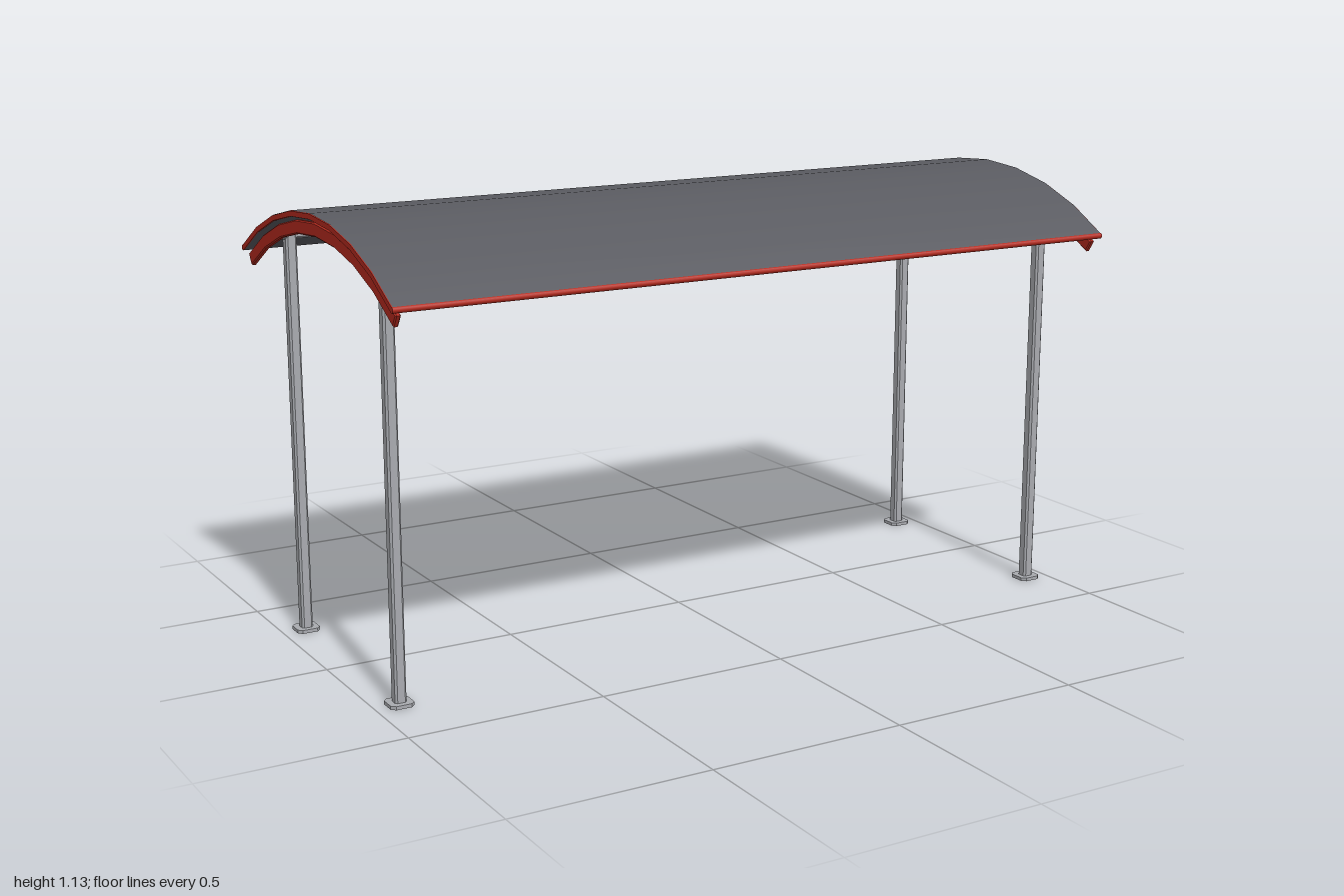
import * as THREE from 'three';

const CENTRE_Y = 0.244; // centre of the roof arc
const HALF = 0.577;     // half angle of the roof arc
const SEGMENTS = 8;

const mat = (name, color, side = THREE.FrontSide) => {
  const m = new THREE.MeshStandardMaterial({ color, side });
  m.name = name;
  return m;
};

// Arched bar between two radii, running along x and centred on it
function archGeometry(inner, outer, length, bevel = 0) {
  const points = [];
  const arc = (r, dir) => {
    for (let i = 0; i <= SEGMENTS; i++) {
      const a = dir * HALF * (1 - 2 * i / SEGMENTS);
      points.push(new THREE.Vector2(r * Math.sin(a), r * Math.cos(a)));
    }
  };
  arc(outer - bevel, 1);
  arc(inner + bevel, -1);
  const depth = length - 2 * bevel;
  const g = new THREE.ExtrudeGeometry(new THREE.Shape(points), {
    depth, bevelEnabled: bevel > 0, bevelSize: bevel, bevelThickness: bevel, bevelSegments: 1,
  });
  return g.translate(0, 0, -depth / 2).rotateY(-Math.PI / 2);
}

// Upright square tube with chamfered edges, standing on y = 0
function tubeGeometry(size, height) {
  const h = size / 2, c = size * 0.17;
  const corners = [[h, -h + c], [h, h - c], [h - c, h], [-h + c, h], [-h, h - c], [-h, -h + c], [-h + c, -h], [h - c, -h]];
  const shape = new THREE.Shape(corners.map(([x, y]) => new THREE.Vector2(x, y)));
  return new THREE.ExtrudeGeometry(shape, { depth: height, bevelEnabled: false }).rotateX(-Math.PI / 2);
}

export function createModel() {
  const model = new THREE.Group();
  model.name = 'shelter';
  const roofGrey = mat('roofGrey', 0x5a5b61, THREE.DoubleSide);
  const red = mat('trimRed', 0xb52a1e);
  const steel = mat('steel', 0xa9abb0);

  const add = (name, geometry, material, x = 0, y = 0, z = 0) => {
    const mesh = new THREE.Mesh(geometry, material);
    mesh.name = name;
    mesh.position.set(x, y, z);
    model.add(mesh);
    return mesh;
  };

  // Curved roof sheets above and below a red-edged core
  for (const [name, r] of [['roofTop', 0.883], ['roofUnderside', 0.868]]) {
    const sheet = new THREE.CylinderGeometry(r, r, 1.994, SEGMENTS, 1, true, Math.PI / 2 - HALF, 2 * HALF);
    add(name, sheet.rotateZ(Math.PI / 2), roofGrey, 0, CENTRE_Y);
  }
  add('roofEdge', archGeometry(0.869, 0.882, 1.998), red, 0, CENTRE_Y);

  // Rounded trim along the front and back eaves
  for (const s of [-1, 1]) {
    const trim = new THREE.CylinderGeometry(0.0075, 0.0075, 1.998, 10).rotateZ(Math.PI / 2);
    add('eaveTrim', trim, red, 0, CENTRE_Y + 0.876 * Math.cos(HALF), s * 0.876 * Math.sin(HALF));
  }

  // Arched end beams
  for (const s of [-1, 1]) {
    add('endBeam', archGeometry(0.826, 0.860, 0.014, 0.003), red, s * 0.98, CENTRE_Y);
  }

  for (const z of [-0.303, 0.303]) {
    // Long rails joining the column tops
    add('rail', tubeGeometry(0.026, 1.95).rotateZ(-Math.PI / 2), steel, -0.975, 1.034, z);
    // Columns on square foot plates
    for (const x of [-0.938, 0.938]) {
      add('column', tubeGeometry(0.029, 1.045), steel, x, 0, z);
      add('footPlate', tubeGeometry(0.06, 0.009), steel, x, 0, z);
    }
  }

  // Small rods hanging from the roof
  for (const x of [-0.4, 0.4]) {
    add('hangingRod', new THREE.CylinderGeometry(0.004, 0.004, 0.222, 8), steel, x, 0.999, 0.025);
    add('rodPlate', new THREE.BoxGeometry(0.022, 0.006, 0.022), steel, x, 0.888, 0.025);
  }

  return model;
}
